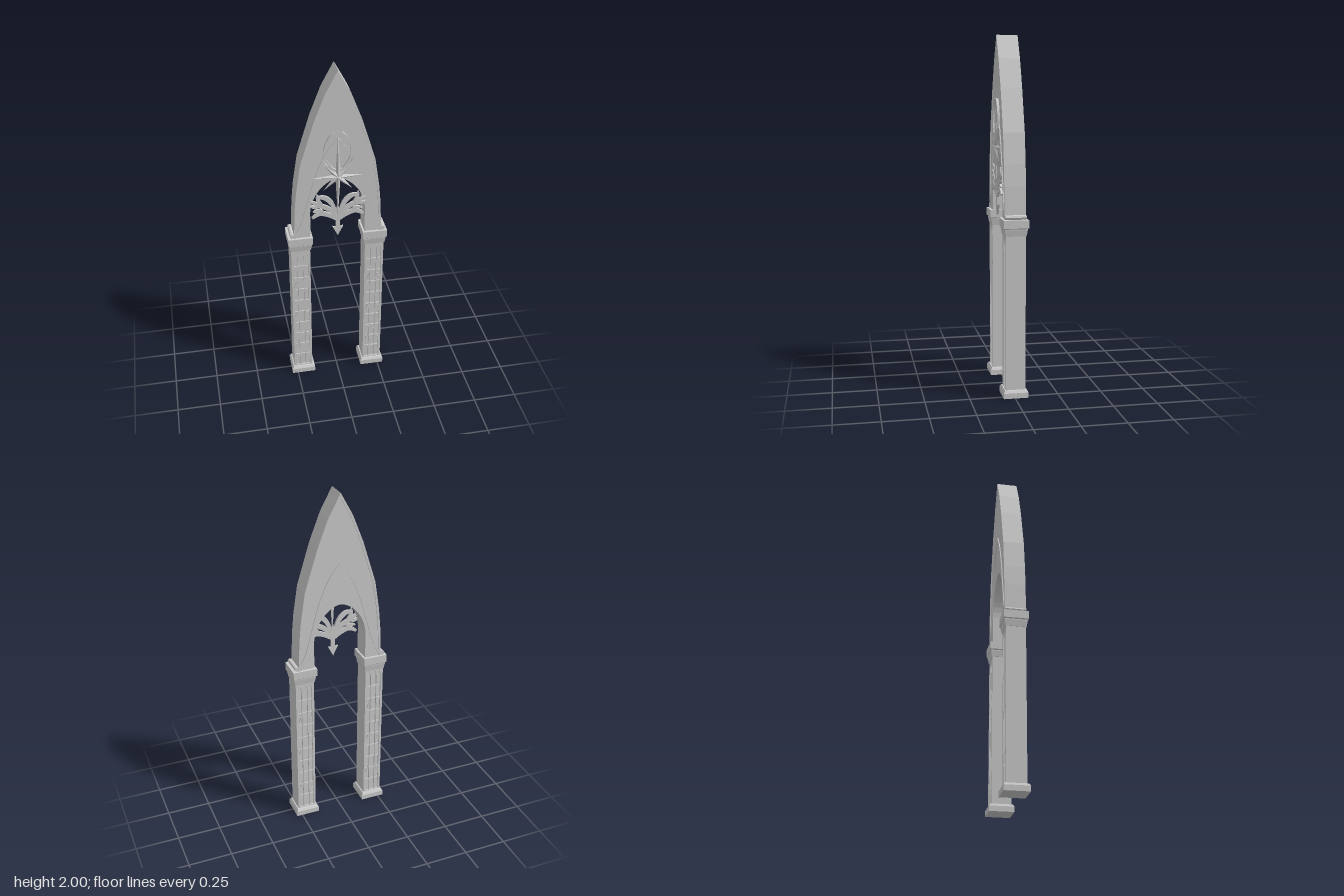
import * as THREE from 'three';

const material = new THREE.MeshStandardMaterial({ color: 0xcccccc, flatShading: true, side: THREE.DoubleSide });
const MID = -0.005; // depth centre of the masonry

function add(parent, geometry, name, x = 0, y = 0, z = 0) {
  const mesh = new THREE.Mesh(geometry, material);
  mesh.name = name;
  mesh.position.set(x, y, z);
  parent.add(mesh);
  return mesh;
}

const extrude = (shape, depth, curveSegments = 8) =>
  new THREE.ExtrudeGeometry(shape, { depth, bevelEnabled: false, curveSegments });

// Square block turned from [half width, height] steps
function squareBlock(steps) {
  const pts = steps.map(([r, y]) => new THREE.Vector2(r * Math.SQRT2, y));
  return new THREE.LatheGeometry(pts, 4, Math.PI / 4);
}

// Flat strip following a smooth path, width given as a function of t
function ribbon(points, width, depth, side = 1, segments = 12) {
  const curve = new THREE.SplineCurve(points.map(([x, y]) => new THREE.Vector2(x * side, y)));
  const left = [], right = [];
  for (let i = 0; i <= segments; i++) {
    const t = i / segments, p = curve.getPoint(t), d = curve.getTangent(t), w = width(t) / 2;
    left.push(new THREE.Vector2(p.x - d.y * w, p.y + d.x * w));
    right.unshift(new THREE.Vector2(p.x + d.y * w, p.y - d.x * w));
  }
  return extrude(new THREE.Shape([...left, ...right]), depth);
}

// Outline with a pointed top
function lancet(Type, cx, half, y0, y1) {
  const s = new Type();
  s.moveTo(cx - half, y0);
  s.lineTo(cx + half, y0);
  s.lineTo(cx + half, y1 - 0.05);
  s.quadraticCurveTo(cx + half, y1 - 0.025, cx, y1);
  s.quadraticCurveTo(cx - half, y1 - 0.025, cx - half, y1 - 0.05);
  s.closePath();
  return s;
}

// Openwork panel: three lancets crossed by bars and small leaves
function makeTracery() {
  const g = new THREE.Group();
  g.name = 'traceryPanel';
  const frame = new THREE.Shape();
  frame.moveTo(-0.055, 0.03);
  frame.lineTo(0.055, 0.03);
  frame.lineTo(0.055, 0.93);
  frame.lineTo(-0.055, 0.93);
  frame.closePath();
  frame.holes.push(lancet(THREE.Path, 0, 0.015, 0.05, 0.91));
  for (const s of [-1, 1]) frame.holes.push(lancet(THREE.Path, s * 0.031, 0.011, 0.05, 0.905));
  add(g, extrude(frame, 0.01, 4), 'traceryFrame');
  for (let i = 1; i <= 9; i++)
    add(g, new THREE.BoxGeometry(0.086, 0.007, 0.006), 'crossBar', 0, 0.05 + i * 0.083, 0.003);
  for (const y of [0.2, 0.44, 0.66]) for (const s of [-1, 1]) {
    const leaf = [[s * 0.042, y - 0.03], [s * 0.032, y], [s * 0.022, y + 0.03]];
    add(g, ribbon(leaf, t => 0.002 + 0.009 * Math.sin(Math.PI * t), 0.008, 1, 6), 'traceryLeaf');
  }
  return g;
}

function makePillar(side) {
  const g = new THREE.Group();
  g.name = side > 0 ? 'leftPillar' : 'rightPillar';
  g.position.set(side * 0.214, 0, MID);
  add(g, new THREE.BoxGeometry(0.11, 0.9, 0.09), 'shaft', 0, 0.48, 0);
  const front = makeTracery();
  front.position.z = 0.045;
  const back = makeTracery();
  back.rotation.y = Math.PI;
  back.position.z = -0.045;
  g.add(front, back);
  add(g, squareBlock([[0, 0], [0.07, 0], [0.07, 0.03], [0.062, 0.043], [0.055, 0.045], [0, 0.045]]), 'base');
  add(g, squareBlock([[0, 0.91], [0.058, 0.91], [0.064, 0.945], [0.064, 0.95], [0.07, 0.955],
    [0.07, 1], [0, 1]]), 'capital');
  return g;
}

// Pointed arch wall with a rounded opening
const outer = [[0.25, 1], [0.243, 1.18], [0.232, 1.3], [0.206, 1.47], [0.132, 1.71], [0.07, 1.87], [0, 2]];

function makeArch() {
  const g = new THREE.Group();
  g.name = 'arch';
  const s = new THREE.Shape();
  s.moveTo(...outer[0]);
  outer.slice(1).forEach(p => s.lineTo(...p));
  outer.slice(0, -1).reverse().forEach(([x, y]) => s.lineTo(-x, y));
  s.lineTo(-0.155, 1);
  s.lineTo(-0.155, 1.16);
  s.bezierCurveTo(-0.15, 1.27, -0.07, 1.36, 0, 1.365);
  s.bezierCurveTo(0.07, 1.36, 0.15, 1.27, 0.155, 1.16);
  s.lineTo(0.155, 1);
  s.closePath();
  add(g, extrude(s, 0.108, 10), 'archWall', 0, 0, -0.059);

  const hood = [[0.245, 1.01], [0.205, 1.09], [0.165, 1.23], [0.12, 1.39], [0.065, 1.52], [0, 1.61]];
  for (const side of [-1, 1]) {
    // Raised rim along the outer edge, on both faces and flush with the outline
    const rim = new THREE.Shape();
    outer.forEach(([x, y], i) => i ? rim.lineTo(side * x, y) : rim.moveTo(side * x, y));
    [...outer].reverse().forEach(([x, y]) => rim.lineTo(side * Math.max(0, x - 0.013), y - (x ? 0.004 : 0.03)));
    rim.closePath();
    for (const z of [0.049, -0.065]) {
      add(g, extrude(rim, 0.006), 'outerRim', 0, 0, z);
      add(g, ribbon(hood, () => 0.01, 0.006, side, 20), 'pointedMoulding', 0, 0, z);
    }
    // Small roll at the foot of the arch
    const roll = add(g, new THREE.CylinderGeometry(0.013, 0.013, 0.118, 8), 'footRoll', side * 0.26, 1.013, MID);
    roll.rotation.x = Math.PI / 2;
  }
  return g;
}

// Faceted eight-pointed star
function makeStar() {
  const lengths = [0.15, 0.115, 0.26, 0.115], pos = [];
  const pt = i => {
    const a = i * Math.PI / 8;
    const r = i % 2 ? 0.033 : lengths[(i / 2) % 4];
    return [Math.cos(a) * r, Math.sin(a) * r, 0];
  };
  for (let i = 0; i < 16; i++) {
    const a = pt(i), b = pt((i + 1) % 16);
    pos.push(0, 0, 0.018, ...a, ...b, 0, 0, -0.004, ...b, ...a);
  }
  const geo = new THREE.BufferGeometry();
  geo.setAttribute('position', new THREE.Float32BufferAttribute(pos, 3));
  geo.computeVertexNormals();
  return geo;
}

function makeOrnament() {
  const g = new THREE.Group();
  g.name = 'ornament';
  add(g, makeStar(), 'star', 0, 1.38, 0.055);
  // Stem ending in a downward arrowhead
  const stem = new THREE.Shape();
  [[0, 0.995], [0.03, 1.055], [0.012, 1.05], [0.012, 1.1], [0.022, 1.13], [0, 1.2]]
    .forEach(([x, y], i) => i ? stem.lineTo(x, y) : stem.moveTo(x, y));
  [[-0.022, 1.13], [-0.012, 1.1], [-0.012, 1.05], [-0.03, 1.055]].forEach(p => stem.lineTo(...p));
  stem.closePath();
  add(g, extrude(stem, 0.012), 'arrowStem', 0, 0, 0.043);

  const branches = [
    [[0.005, 1.1], [0.05, 1.135], [0.1, 1.15], [0.145, 1.125]],
    [[0.005, 1.11], [0.045, 1.17], [0.095, 1.2], [0.155, 1.235]],
    [[0.005, 1.13], [0.035, 1.21], [0.075, 1.25], [0.12, 1.255]],
  ];
  const leaves = [
    [[0.075, 1.145], [0.1, 1.17], [0.14, 1.165]],
    [[0.08, 1.195], [0.11, 1.235], [0.115, 1.275]],
    [[0.1, 1.2], [0.13, 1.195], [0.155, 1.205]],
  ];
  const horn = [[0.03, 1.43], [0.068, 1.49], [0.072, 1.56], [0.05, 1.62], [0.022, 1.65]];
  const spray = [[0.015, 1.42], [0.06, 1.45], [0.085, 1.49]];
  for (const side of [-1, 1]) {
    for (const b of branches)
      add(g, ribbon(b, t => 0.012 + 0.016 * Math.sin(Math.PI * t), 0.012, side), 'branch', 0, 0, 0.045);
    for (const l of leaves)
      add(g, ribbon(l, t => 0.003 + 0.017 * Math.sin(Math.PI * t), 0.012, side, 8), 'leaf', 0, 0, 0.045);
    add(g, ribbon(horn, t => 0.014 - 0.011 * t, 0.014, side), 'curvedHorn', 0, 0, 0.049);
    add(g, ribbon(spray, t => 0.016 - 0.013 * t, 0.012, side, 8), 'upperSpray', 0, 0, 0.049);
  }
  return g;
}

export function createModel() {
  const model = new THREE.Group();
  model.name = 'gothicArch';
  model.add(makePillar(1), makePillar(-1), makeArch(), makeOrnament());
  return model;
}
